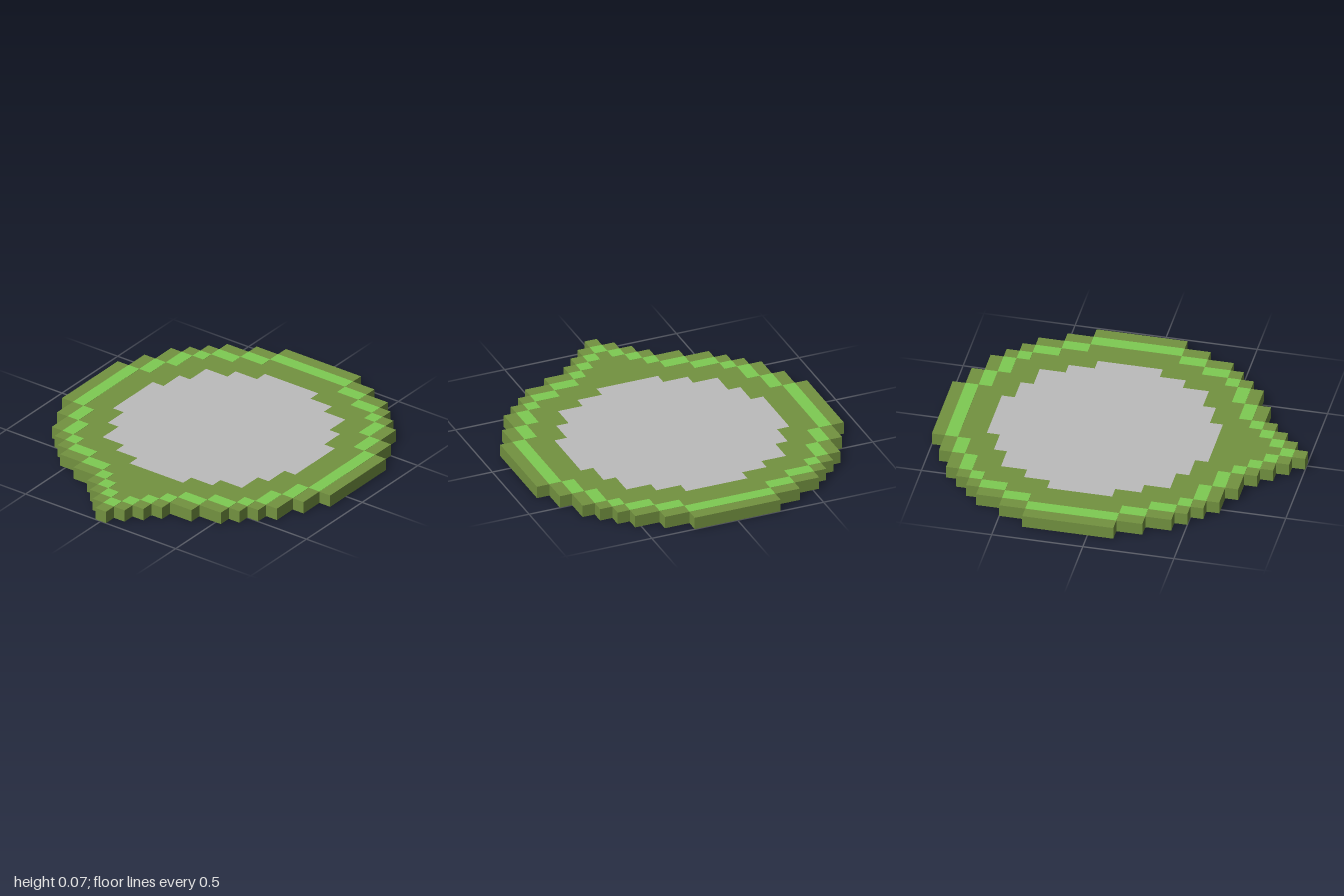
import * as THREE from 'three';

const CELL = 2 / 28; // one grid cell; the badge is 25 x 28 cells and one cell thick
const PROUD = 0.001; // how far the inlaid stripe stands out of the body

// Bands of equal rows from back to front: [number of rows, half width in cells]
const OUTLINE = [[1, 3.5], [1, 5.5], [1, 7.5], [1, 8.5], [1, 9.5], [2, 10.5], [2, 11.5], [7, 12.5],
  [2, 11.5], [2, 10.5], [1, 9.5], [1, 8.5], [1, 7.5], [1, 5.5], [1, 3.5], [1, 2.5], [1, 1.5], [1, 0.5]];
const PANEL = [[1, 2.5], [1, 4.5], [2, 6.5], [2, 7.5], [5, 8.5], [2, 7.5], [2, 6.5], [1, 4.5], [1, 2.5]];
// Stripe bands: [number of rows, inner edge, outer edge]
const STRIPE = [[1, 0, 3.5], [1, 3.5, 5.5], [1, 5.5, 7.5], [1, 7.5, 8.5], [2, 8.5, 9.5], [2, 9.5, 10.5],
  [7, 10.5, 11.5], [2, 9.5, 10.5], [2, 8.5, 9.5], [1, 7.5, 8.5], [1, 5.5, 7.5], [1, 3.5, 5.5],
  [1, 2.5, 3.5], [1, 1.5, 2.5], [1, 0.5, 1.5], [1, 0, 0.5]];

// Mirrored stepped outline; shape y runs opposite to z
function steppedPoints(bands, firstRow) {
  const right = [];
  let row = firstRow;
  for (const [count, half] of bands) {
    right.push([half * CELL, 1 - row * CELL]);
    row += count;
    right.push([half * CELL, 1 - row * CELL]);
  }
  const left = right.map(([x, y]) => [-x, y]).reverse();
  return [...right, ...left].map(([x, y]) => new THREE.Vector2(x, y));
}

// Flat slab lying in the xz plane between two heights
function slab(shape, bottom, top) {
  const geo = new THREE.ExtrudeGeometry(shape, { depth: top - bottom, bevelEnabled: false });
  geo.rotateX(-Math.PI / 2);
  geo.translate(0, bottom, 0);
  return geo;
}

export function createModel() {
  const olive = new THREE.MeshStandardMaterial({ name: 'olive green', color: 0x739240 });
  const lime = new THREE.MeshStandardMaterial({ name: 'light green', color: 0x7ecb52 });
  const grey = new THREE.MeshStandardMaterial({ name: 'light grey', color: 0xbcbcbc });

  const model = new THREE.Group();
  model.name = 'pixelBadge';
  const add = (parent, name, geo, mat) => {
    const mesh = new THREE.Mesh(geo, mat);
    mesh.name = name;
    parent.add(mesh);
    return mesh;
  };

  // Stepped body with an opening for the centre panel
  const bodyShape = new THREE.Shape(steppedPoints(OUTLINE, 0));
  bodyShape.holes.push(new THREE.Path(steppedPoints(PANEL, 4)));
  add(model, 'body', slab(bodyShape, PROUD, CELL - PROUD), olive);

  // Centre panel fills the opening
  const panelShape = new THREE.Shape(steppedPoints(PANEL, 4));
  add(model, 'centrePanel', slab(panelShape, PROUD, CELL - PROUD), grey);

  // Stripe following the rim, visible on both faces
  const stripe = new THREE.Group();
  stripe.name = 'rimStripe';
  model.add(stripe);
  let row = 1;
  for (const [count, inner, outer] of STRIPE) {
    const z = -1 + (row + count / 2) * CELL;
    const block = (x, width) => {
      const geo = new THREE.BoxGeometry(width * CELL, CELL, count * CELL);
      add(stripe, 'stripeBlock', geo, lime).position.set(x * CELL, CELL / 2, z);
    };
    if (inner === 0) block(0, outer * 2);
    else for (const side of [-1, 1]) block(side * (inner + outer) / 2, outer - inner);
    row += count;
  }
  return model;
}
